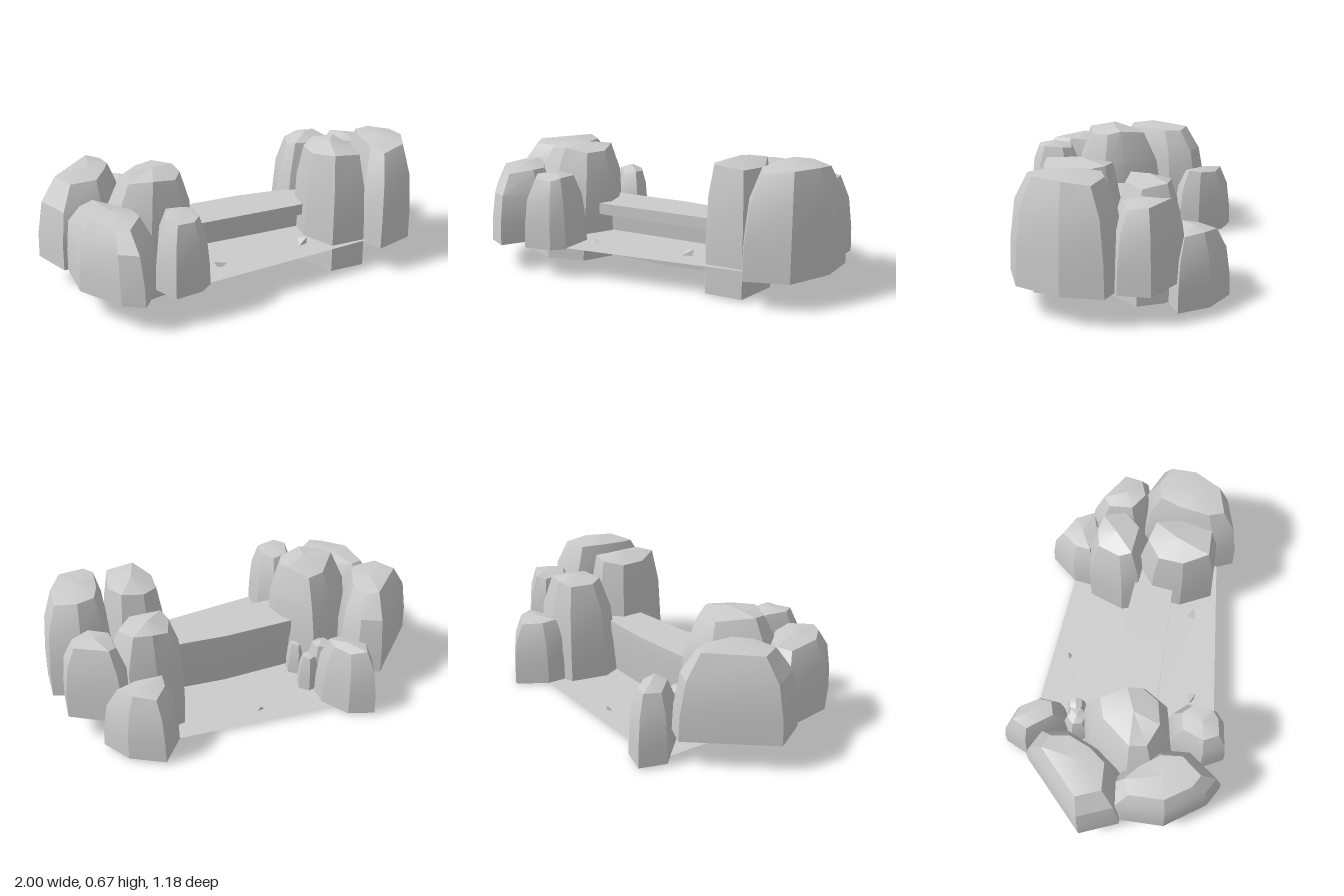
import * as THREE from 'three';
import { toCreasedNormals } from 'three/addons/utils/BufferGeometryUtils.js';

const stone = new THREE.MeshStandardMaterial({ color: 0xcccccc, side: THREE.DoubleSide });

function add(group, name, geometry, crease = 0.35) {
  const mesh = new THREE.Mesh(toCreasedNormals(geometry, crease), stone);
  mesh.name = name;
  group.add(mesh);
  return mesh;
}

// Boulder lofted over a ground outline given as x, z pairs, open underneath;
// lean shifts the top along x, crown is the width of the top
function boulder(base, top, outline, lean = 0, crown = 0.61) {
  const rings = [[0, 1], [0.3, 0.98], [0.68, 0.67 + crown / 3], [0.95, crown]];
  const n = outline.length / 2;
  let cx = 0, cz = 0;
  for (let i = 0; i < n; i++) {
    cx += outline[2 * i] / n;
    cz += outline[2 * i + 1] / n;
  }
  const pos = [], index = [];
  rings.forEach(([h, s], r) => {
    for (let i = 0; i < n; i++) {
      const wobble = r === 3 ? 0.02 * Math.sin(i * 2 + cx * 9) : 0;
      pos.push(
        cx + (outline[2 * i] - cx) * s + lean * h,
        base + (top - base) * (h + wobble),
        cz + (outline[2 * i + 1] - cz) * s);
    }
  });
  pos.push(cx + lean, top, cz);
  const apex = rings.length * n, last = (rings.length - 1) * n;
  for (let i = 0; i < n; i++) {
    const j = (i + 1) % n;
    for (let r = 0; r < rings.length - 1; r++) {
      const a = r * n + i, b = r * n + j;
      index.push(a, a + n, b, b, a + n, b + n);
    }
    index.push(apex, last + j, last + i);
  }
  const g = new THREE.BufferGeometry();
  g.setAttribute('position', new THREE.Float32BufferAttribute(pos, 3));
  g.setIndex(index);
  return g;
}

// Six-sided outline for a small stone
function pebbleOutline(x, z, r) {
  const pts = [];
  for (let i = 0; i < 6; i++) {
    const a = i * Math.PI / 3 + x * 7;
    pts.push(x + r * Math.cos(a), z + r * Math.sin(a));
  }
  return pts;
}

// Flat sheet from x, z corners
function sheet(y, corners) {
  const shape = new THREE.Shape(corners.map(([x, z]) => new THREE.Vector2(x, -z)));
  return new THREE.ShapeGeometry(shape).rotateX(-Math.PI / 2).translate(0, y, 0);
}

export function createModel() {
  const model = new THREE.Group();
  model.name = 'rockyWeir';

  // Right bank
  add(model, 'rightBackBoulder', boulder(0.145, 0.585,
    [-1, -0.11, -0.65, -0.44, -0.54, -0.38, -0.52, -0.23, -0.6, -0.05, -0.7, 0.08, -0.92, 0.09]));
  add(model, 'rightFrontBoulder', boulder(0.145, 0.515,
    [-0.9, 0.03, -0.78, -0.02, -0.66, 0.08, -0.54, 0.25, -0.53, 0.42, -0.66, 0.59, -0.76, 0.53, -0.9, 0.32]));
  add(model, 'rightMiddleBoulder', boulder(0.012, 0.625,
    [-0.77, 0.1, -0.56, -0.14, -0.4, -0.19, -0.29, 0.02, -0.27, 0.14, -0.36, 0.28, -0.56, 0.32, -0.74, 0.24], 0.05));
  add(model, 'rightFrontSmallBoulder', boulder(0.155, 0.525,
    [-0.5, 0.29, -0.36, 0.27, -0.29, 0.35, -0.31, 0.52, -0.37, 0.57, -0.51, 0.59, -0.57, 0.47]));
  add(model, 'rightBackSmallBoulder', boulder(0.012, 0.38,
    [-0.54, -0.59, -0.41, -0.54, -0.33, -0.4, -0.34, -0.29, -0.45, -0.26, -0.6, -0.46]));

  // Left bank
  add(model, 'leftBackLowBoulder', boulder(0.012, 0.37,
    [0.59, -0.52, 0.75, -0.42, 0.83, -0.27, 0.62, -0.2, 0.45, -0.25, 0.47, -0.38]));
  add(model, 'leftBackBoulder', boulder(0.012, 0.59,
    [0.4, -0.27, 0.54, -0.3, 0.69, -0.27, 0.76, -0.08, 0.62, 0.05, 0.36, 0.02, 0.33, -0.08]));
  add(model, 'leftMiddleBoulder', boulder(0.012, 0.66,
    [0.36, 0.08, 0.48, -0.01, 0.62, 0.03, 0.67, 0.2, 0.61, 0.42, 0.42, 0.42, 0.34, 0.25], 0, 0.75));
  add(model, 'leftFrontBoulder', boulder(0.145, 0.67,
    [0.7, 0, 0.84, -0.03, 1, 0.05, 0.98, 0.25, 0.86, 0.46, 0.65, 0.52, 0.6, 0.4, 0.64, 0.15], 0, 0.65));
  add(model, 'leftOuterBoulder', boulder(0.145, 0.55,
    [0.73, -0.31, 0.97, -0.15, 0.95, 0, 0.8, 0.05, 0.66, -0.05, 0.66, -0.25]));

  // Small stones at the foot of the banks
  [[-0.41, -0.21, 0.08, 0.27], [-0.33, -0.23, 0.06, 0.22], [-0.34, -0.07, 0.06, 0.2], [0.37, 0.09, 0.045, 0.18]]
    .forEach(([x, z, r, top]) => add(model, 'smallStone', boulder(0.012, top, pebbleOutline(x, z, r))));

  // Upper and lower beds
  add(model, 'upperBed', sheet(0.16, [[-0.5, 0.13], [-0.5, 0.535], [0.62, 0.43], [0.62, 0.13]]));
  add(model, 'lowerBed', sheet(0.014, [[-0.55, -0.48], [-0.61, -0.04], [0.6, 0.08], [0.76, -0.35]]));

  // Wall between the beds under an overhanging flat slab, bent slightly in the middle
  const profile = new THREE.Shape([[-0.01, 0], [0.12, 0], [0.14, 0.26], [0.2, 0.26], [0.2, 0.32], [-0.04, 0.32], [-0.04, 0.26]]
    .map(([z, y]) => new THREE.Vector2(z, y)));
  const wall = new THREE.ExtrudeGeometry(profile, { depth: 0.9, steps: 2, bevelEnabled: false });
  wall.rotateY(-Math.PI / 2).translate(0.52, 0, 0);
  const p = wall.attributes.position;
  for (let i = 0; i < p.count; i++) {
    const x = p.getX(i);
    if (p.getZ(i) < 0) p.setZ(i, p.getZ(i) + Math.max(0, x - 0.07) * 0.1);
    if (p.getY(i) < 0.01) p.setY(i, Math.abs(x - 0.07) * 0.04);
  }
  add(model, 'wall', wall);

  // Loose chips lying on the beds
  [[-0.2, 0.175, 0.38, 0.04], [0.29, 0.17, 0.33, 0.04], [0, 0.018, -0.33, 0.025]].forEach(([x, y, z, r], i) => {
    const chip = add(model, 'chip', new THREE.TetrahedronGeometry(r), 0.1);
    chip.position.set(x, y, z);
    chip.rotation.set(0.6, i + 0.4, 0.3);
    chip.scale.y = 0.5;
  });
  return model;
}
